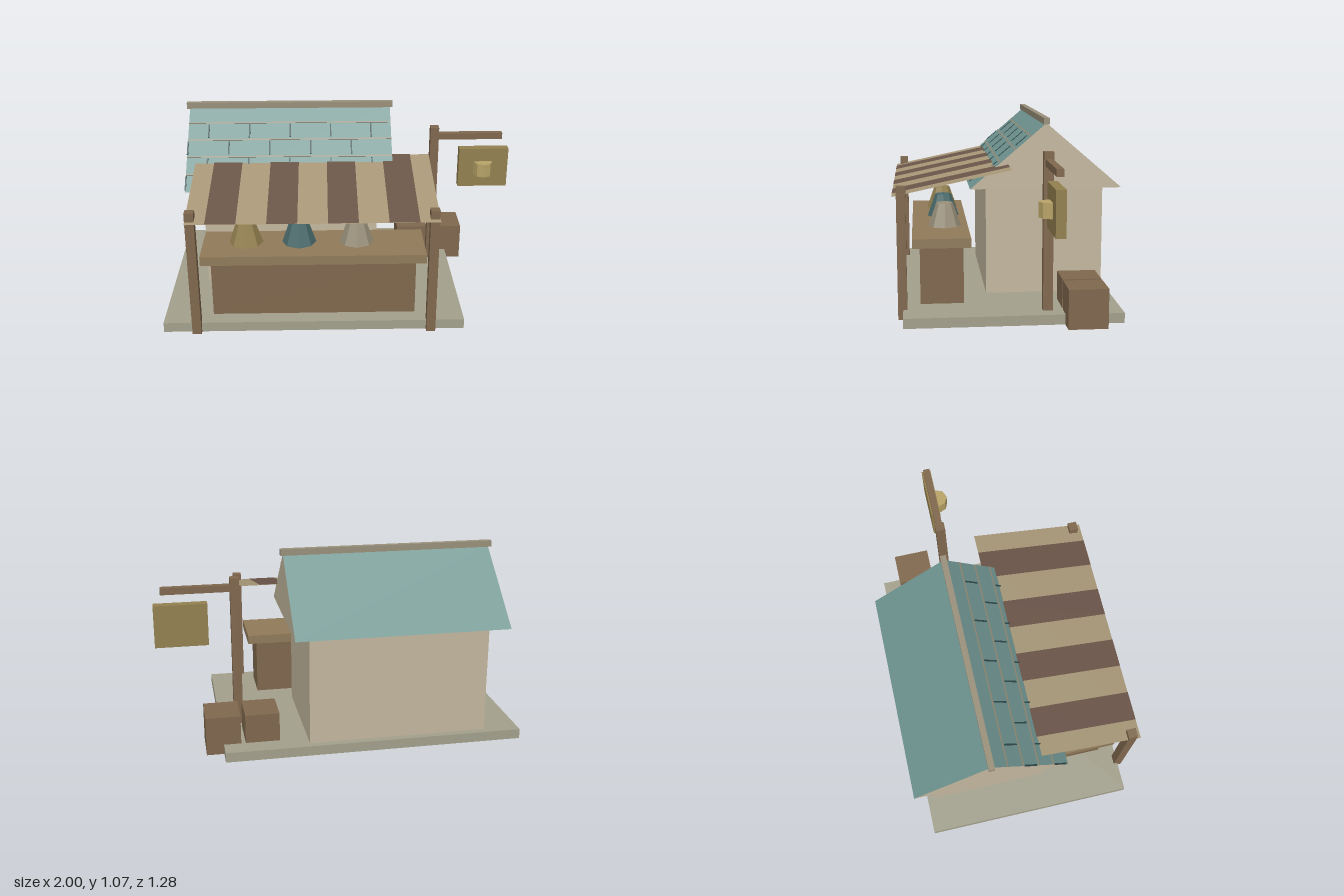
import * as THREE from 'three';

const mat = (color, extra = {}) => {
  const m = new THREE.MeshStandardMaterial({ flatShading: true, ...extra });
  m.color.set(color);
  return m;
};

export function createModel() {
  const root = new THREE.Group();
  const stone = mat(0xa3a08c), plaster = mat(0xc4b79e), wood = mat(0x80684e);
  const topWood = mat(0x907b5a), teal = mat(0x6f9490), darkTeal = mat(0x2f4a4c);
  const trim = mat(0x99907a), ochre = mat(0x93804f), gold = mat(0xb8a468);
  const cloth = mat(0xa89878, { side: THREE.DoubleSide }), stripe = mat(0x6b5549);

  const add = (name, geometry, material, parent = root) => {
    const mesh = new THREE.Mesh(geometry, material);
    mesh.name = name;
    parent.add(mesh);
    return mesh;
  };
  // Box given by its extents on each axis
  const box = (name, material, x0, x1, y0, y1, z0, z1, parent = root) => {
    const mesh = add(name, new THREE.BoxGeometry(x1 - x0, y1 - y0, z1 - z0), material, parent);
    mesh.position.set((x0 + x1) / 2, (y0 + y1) / 2, (z0 + z1) / 2);
    return mesh;
  };

  // Ground slab and house body
  box('base', stone, -1, 0.66, 0, 0.055, -0.59, 0.59);
  box('houseWalls', plaster, -0.8, 0.197, 0.055, 0.675, -0.55, 0.12);

  // Gabled roof: plaster ends, teal slopes and underside
  const ridgeY = 1.04, ridgeZ = -0.213, eaveY = 0.675, run = 0.427;
  const gable = new THREE.Shape([
    new THREE.Vector2(-run, eaveY), new THREE.Vector2(run, eaveY), new THREE.Vector2(0, ridgeY),
  ]);
  const roofGeo = new THREE.ExtrudeGeometry(gable, { depth: 1.175, bevelEnabled: false });
  roofGeo.rotateY(Math.PI / 2);
  add('roof', roofGeo, [plaster, teal]).position.set(-0.89, 0, ridgeZ);
  box('ridgeBeam', trim, -0.907, 0.3, 1.033, 1.068, -0.23, -0.197);

  // Tile courses and staggered joints on the front slope
  const tiles = new THREE.Group();
  tiles.name = 'roofTiles';
  tiles.position.set(0, ridgeY, ridgeZ);
  tiles.rotation.x = Math.atan2(ridgeY - eaveY, run);
  root.add(tiles);
  const course = Math.hypot(ridgeY - eaveY, run) / 5;
  for (let row = 1; row < 5; row++) {
    const d = row * course;
    box('tileCourse', trim, -0.89, 0.285, -0.003, 0.003, d - 0.004, d + 0.004, tiles);
    for (let i = 0; i < 5; i++) {
      const x = (row % 2 ? -0.772 : -0.888) + i * 0.235;
      box('tileJoint', darkTeal, x - 0.004, x + 0.004, -0.003, 0.004, d + 0.01, d + 0.098, tiles);
    }
  }

  // Striped awning, sloping down to the front
  const awning = new THREE.Group();
  awning.name = 'awning';
  awning.position.set(0, 0.81, 0);
  awning.rotation.x = Math.atan2(0.135, 0.642);
  root.add(awning);
  const awningLength = Math.hypot(0.135, 0.642);
  const sheet = (name, material, x0, x1, lift) => {
    const geo = new THREE.PlaneGeometry(x1 - x0, awningLength).rotateX(-Math.PI / 2);
    add(name, geo, material, awning).position.set((x0 + x1) / 2, lift, awningLength / 2);
  };
  sheet('awningCloth', cloth, -0.84, 0.5, 0);
  for (let i = 0; i < 4; i++) {
    const x = -0.733 + i * 0.321;
    sheet('awningStripe', stripe, x, x + 0.161, 0.002);
  }
  for (const x of [-0.815, 0.473]) {
    box('awningPost', wood, x - 0.025, x + 0.025, 0, 0.728, 0.568, 0.618);
  }

  // Counter with three tapered baskets
  box('counter', wood, -0.733, 0.393, 0.055, 0.38, 0.257, 0.497);
  box('counterTop', topWood, -0.786, 0.446, 0.38, 0.432, 0.217, 0.538);
  [[-0.545, ochre], [-0.25, mat(0x4a6a6b)], [0.07, trim]].forEach(([x, m]) => {
    add('basket', new THREE.CylinderGeometry(0.048, 0.095, 0.135, 8), m).position.set(x, 0.499, 0.35);
  });

  // Hanging sign on its post
  box('signPost', wood, 0.528, 0.578, 0.055, 0.914, -0.213, -0.16);
  box('signArm', wood, 0.578, 0.957, 0.838, 0.876, -0.206, -0.168);
  box('signBoard', ochre, 0.705, 1, 0.54, 0.78, -0.213, -0.16);
  add('signOrnament', new THREE.CylinderGeometry(0.056, 0.056, 0.08, 8), gold).position.set(0.85, 0.66, -0.152);

  // Crates beside the house
  box('crate', wood, 0.353, 0.541, 0, 0.216, -0.483, -0.27);
  box('crate', wood, 0.566, 0.755, 0, 0.216, -0.483, -0.27);

  return root;
}
